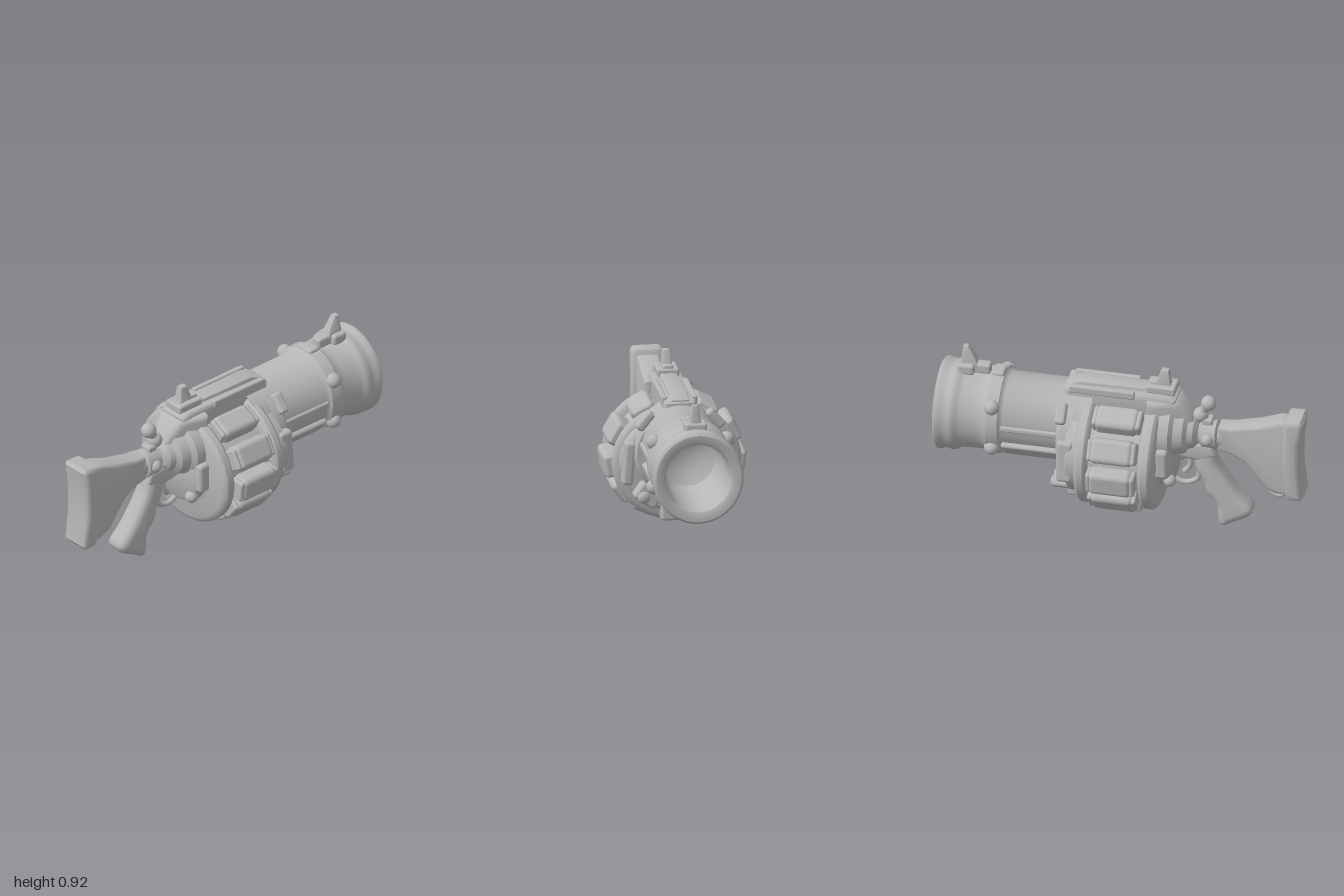
import * as THREE from 'three';
import { toCreasedNormals } from 'three/addons/utils/BufferGeometryUtils.js';
import { RoundedBoxGeometry } from 'three/addons/geometries/RoundedBoxGeometry.js';

const metal = new THREE.MeshStandardMaterial({ color: 0xb6b6b6 });
metal.name = 'grey metal';

export function createModel() {
  const model = new THREE.Group();
  model.name = 'drumLauncher';

  const add = (name, geo, x = 0, y = 0, z = 0, rx = 0, rz = 0) => {
    const m = new THREE.Mesh(geo, metal);
    m.name = name;
    m.position.set(x, y, z);
    m.rotation.set(rx, 0, rz);
    model.add(m);
    return m;
  };
  const v2 = (pts) => pts.map(([x, y]) => new THREE.Vector2(x, y));
  // Turned part along x from [x, radius] pairs, with elliptical scaling
  const turned = (name, profile, y, sy = 1, sz = 1) => {
    const g = new THREE.LatheGeometry(v2(profile.map(([x, r]) => [r, x])), 56);
    g.rotateZ(-Math.PI / 2);
    g.scale(1, sy, sz);
    return add(name, toCreasedNormals(g, 0.6), 0, y, 0);
  };
  // Side outline extruded across z; widthAt(x, y) scales the thickness
  const slab = (name, pts, width, bevel = 0.015, { smooth = false, hole, widthAt, z = 0 } = {}) => {
    const shape = smooth
      ? new THREE.Shape(new THREE.CatmullRomCurve3(pts.map(([x, y]) => new THREE.Vector3(x, y, 0)), true, 'centripetal')
        .getPoints(48).slice(0, -1).map((p) => new THREE.Vector2(p.x, p.y)))
      : new THREE.Shape(v2(pts));
    if (hole) shape.holes.push(new THREE.Path(v2(hole)));
    const depth = width - 2 * bevel;
    const g = new THREE.ExtrudeGeometry(shape, {
      depth, bevelEnabled: true, bevelSize: bevel, bevelThickness: bevel, bevelOffset: -bevel, bevelSegments: 3,
    });
    g.translate(0, 0, -depth / 2);
    if (widthAt) {
      const p = g.attributes.position;
      for (let i = 0; i < p.count; i++) p.setZ(i, p.getZ(i) * widthAt(p.getX(i), p.getY(i)));
    }
    return add(name, toCreasedNormals(g, 0.7), 0, 0, z);
  };
  const box = (name, w, h, d, r, ...place) => add(name, new RoundedBoxGeometry(w, h, d, 3, r), ...place);
  const tube = (name, pts, r, closed = false) => add(name, new THREE.TubeGeometry(
    new THREE.CatmullRomCurve3(pts.map((p) => new THREE.Vector3(p[0], p[1], p[2] || 0)), closed), 32, r, 10, closed));
  const ball = (name, r, x, y, z, sx = 1) => {
    const m = add(name, new THREE.SphereGeometry(r, 18, 12), x, y, z);
    m.scale.x = sx;
  };

  // Barrel, collar and hollow muzzle
  turned('barrel', [
    [0.15, 0.215], [0.62, 0.217], [0.64, 0.23], [0.645, 0.24], [0.71, 0.243], [0.73, 0.228], [0.77, 0.226],
    [0.85, 0.23], [0.875, 0.238], [0.885, 0.246], [0.91, 0.251], [0.925, 0.245], [0.955, 0.245], [0.97, 0.253],
    [0.99, 0.252], [1.0, 0.24], [1.0, 0.205], [0.99, 0.187], [0.96, 0.18], [0.7, 0.172], [0.6, 0.15], [0.56, 0.08],
    [0.55, 0],
  ], 0.545, 1, 0.965);
  for (const s of [1, -1]) {
    box('barrelSideRail', 0.33, 0.035, 0.03, 0.012, 0.47, 0.55, s * 0.205);
    box('barrelLowerPanel', 0.34, 0.12, 0.035, 0.014, 0.46, 0.405, s * 0.162, s * 0.72);
    for (const y of [0.67, 0.42]) {
      const z = s * 0.23 * Math.sqrt(1 - ((y - 0.545) / 0.24) ** 2);
      ball('collarBolt', 0.042, 0.68, y, z);
    }
  }
  box('barrelKeel', 0.36, 0.05, 0.12, 0.015, 0.46, 0.35, 0);
  box('collarTopLug', 0.07, 0.05, 0.1, 0.015, 0.68, 0.775, 0);

  // Front sight on the muzzle
  box('frontSightBase', 0.17, 0.06, 0.06, 0.015, 0.81, 0.795, 0);
  box('frontSightClamp', 0.09, 0.06, 0.12, 0.015, 0.855, 0.795, 0);
  slab('frontSight', [[0.79, 0.8], [0.81, 0.855], [0.85, 0.92], [0.878, 0.92], [0.89, 0.8]], 0.066, 0.008,
    { widthAt: (x, y) => 1 - 0.45 * (y - 0.8) / 0.12 });

  // Revolving drum: core, rims and front and rear caps
  const drumY = 0.41;
  const rz = 0.35 / 0.32;
  turned('drumCore', [[-0.2, 0], [-0.2, 0.275], [0.18, 0.275], [0.18, 0]], drumY, 1, rz);
  const rim = (name, a, b, r) => turned(name,
    [[a, 0], [a, r - 0.03], [a + 0.008, r - 0.01], [a + 0.022, r], [b - 0.022, r], [b - 0.008, r - 0.01],
      [b, r - 0.03], [b, 0]], drumY, 1, rz);
  rim('rearDrumRim', -0.225, -0.145, 0.318);
  rim('frontDrumRim', 0.13, 0.205, 0.32);
  turned('frontDrumCap', [[0.19, 0.29], [0.25, 0.288], [0.265, 0.27], [0.265, 0]], drumY + 0.015, 0.93, 1.1);
  turned('barrelSocket', [[0.24, 0.25], [0.3, 0.25], [0.32, 0.235], [0.325, 0]], 0.5, 0.98, 1);
  turned('rearDrumCap', [[-0.295, 0], [-0.295, 0.16], [-0.28, 0.185], [-0.23, 0.2], [-0.22, 0.23], [-0.2, 0.23]],
    0.42, 0.95, 1);

  // Shell cans around the drum, as angles on its ellipse
  const can = (deg) => {
    const a = THREE.MathUtils.degToRad(deg);
    const z = 0.335 * Math.cos(a);
    const y = drumY + 0.285 * Math.sin(a);
    const tilt = -Math.atan2(Math.sin(a) / 0.32, Math.cos(a) / 0.35);
    box('shellCan', 0.235, 0.138, 0.105, 0.03, -0.005, y, z, tilt);
    for (const x of [-0.1, 0.09]) box('shellCanBand', 0.03, 0.12, 0.09, 0.02, x * 1.25, y, z, tilt);
  };
  for (const deg of [-6, 28, -36, -62, 61]) { can(deg); can(180 - deg); }
  can(-90);

  // Lugs and hinge blocks on the drum front
  box('lowerFrontPlate', 0.09, 0.09, 0.2, 0.018, 0.24, 0.155, 0);
  box('centreLug', 0.12, 0.11, 0.15, 0.02, 0.275, 0.255, 0);
  ball('centreLugBolt', 0.025, 0.335, 0.25, 0, 0.6);
  for (const s of [1, -1]) {
    box('sideLug', 0.12, 0.1, 0.14, 0.02, 0.275, 0.265, s * 0.175, -s * 0.6);
    ball('sideLugBolt', 0.035, 0.33, 0.26, s * 0.2, 0.7);
    box('frontSidePlate', 0.09, 0.24, 0.06, 0.02, 0.26, 0.44, s * 0.275, -s * 0.08);
    box('rearSideLug', 0.07, 0.17, 0.08, 0.02, -0.25, 0.44, s * 0.175);
    ball('rearSideBolt', 0.035, -0.285, 0.31, s * 0.14);
    box('socketLug', 0.06, 0.12, 0.05, 0.018, 0.3, 0.68, s * 0.19, -s * 0.7);
  }

  // Receiver behind the drum and the bridge above it
  turned('receiverCone', [[-0.42, 0], [-0.42, 0.075], [-0.4, 0.105], [-0.37, 0.115], [-0.35, 0.145], [-0.3, 0.158],
    [-0.28, 0.185], [-0.2, 0.19], [-0.2, 0]], 0.56, 0.9, 1);
  slab('receiver', [[-0.41, 0.48], [-0.41, 0.63], [-0.32, 0.75], [-0.28, 0.765], [-0.15, 0.765], [-0.15, 0.3],
    [-0.27, 0.26], [-0.29, 0.46]], 0.2, 0.03, { widthAt: (x) => 1 + 0.5 * (x + 0.28) / 0.15 });
  slab('topBridge', [[-0.3, 0.66], [-0.3, 0.77], [-0.25, 0.795], [0.28, 0.79], [0.31, 0.77], [0.31, 0.66]], 0.18, 0.025);
  slab('topRail', [[-0.29, 0.76], [-0.28, 0.8], [-0.24, 0.812], [0.22, 0.812], [0.3, 0.785], [0.3, 0.76]], 0.11, 0.01,
    { widthAt: (x) => 0.8 + 0.5 * Math.max(0, x + 0.05) });
  for (const s of [1, -1]) box('railEdge', 0.36, 0.045, 0.03, 0.01, 0.1, 0.78, s * 0.082);

  // Rear sight
  box('rearSightBase', 0.16, 0.045, 0.12, 0.012, -0.215, 0.812, 0);
  slab('rearSight', [[-0.275, 0.8], [-0.26, 0.85], [-0.25, 0.92], [-0.21, 0.92], [-0.185, 0.85], [-0.145, 0.85],
    [-0.14, 0.8]], 0.066, 0.008, { widthAt: (x, y) => 1 - 0.4 * (y - 0.8) / 0.12 });

  // Cocking handle
  tube('cockingHandle', [[-0.39, 0.63], [-0.43, 0.68], [-0.465, 0.735]], 0.025);
  ball('cockingKnob', 0.042, -0.468, 0.737, 0);
  ball('cockingPivot', 0.042, -0.425, 0.66, 0);

  // Stock: coupling, skeleton arm, butt pad and sling ring
  turned('stockCoupling', [[-0.6, 0], [-0.6, 0.06], [-0.525, 0.064], [-0.515, 0.082], [-0.44, 0.082], [-0.43, 0.065],
    [-0.39, 0.065], [-0.39, 0]], 0.545, 1, 0.9);
  for (const s of [1, -1]) ball('couplingBolt', 0.035, -0.475, 0.545, s * 0.065);
  box('couplingTopLug', 0.06, 0.04, 0.07, 0.012, -0.465, 0.63, 0);
  slab('stockArm', [[-0.91, 0.7], [-0.86, 0.7], [-0.75, 0.66], [-0.6, 0.625], [-0.53, 0.62], [-0.53, 0.475],
    [-0.59, 0.465], [-0.67, 0.425], [-0.73, 0.36], [-0.79, 0.275], [-0.85, 0.25], [-0.91, 0.25]], 0.13, 0.02, {
    hole: [[-0.875, 0.33], [-0.84, 0.33], [-0.825, 0.4], [-0.825, 0.58], [-0.84, 0.62], [-0.875, 0.62]],
    widthAt: (x) => 0.9 - 0.4 * (x + 0.7),
  });
  slab('buttPad', [[-1.0, 0.25], [-0.985, 0.23], [-0.915, 0.235], [-0.893, 0.28], [-0.885, 0.48], [-0.893, 0.7],
    [-0.905, 0.725], [-0.985, 0.73], [-1.0, 0.71], [-0.982, 0.58], [-0.98, 0.42]], 0.18, 0.028);
  add('slingRing', new THREE.TorusGeometry(0.045, 0.013, 10, 24), -0.85, 0.255, 0);

  // Pistol grip, trigger guard and trigger
  slab('pistolGrip', [[-0.5, 0.45], [-0.52, 0.39], [-0.585, 0.28], [-0.645, 0.2], [-0.715, 0.12], [-0.7, 0.08],
    [-0.63, 0.04], [-0.55, 0.004], [-0.53, 0.03], [-0.52, 0.13], [-0.465, 0.2], [-0.445, 0.27], [-0.405, 0.34],
    [-0.41, 0.45]], 0.14, 0.04, { smooth: true, widthAt: (x, y) => 1 - 0.35 * y });
  slab('gripFrame', [[-0.52, 0.44], [-0.5, 0.5], [-0.27, 0.52], [-0.27, 0.42], [-0.38, 0.4], [-0.46, 0.4]], 0.12, 0.02);
  tube('triggerGuard', [[-0.42, 0.31], [-0.41, 0.26], [-0.37, 0.23], [-0.32, 0.225], [-0.27, 0.25]], 0.015);
  tube('trigger', [[-0.355, 0.42], [-0.37, 0.37], [-0.36, 0.32], [-0.335, 0.29]], 0.016);

  return model;
}
